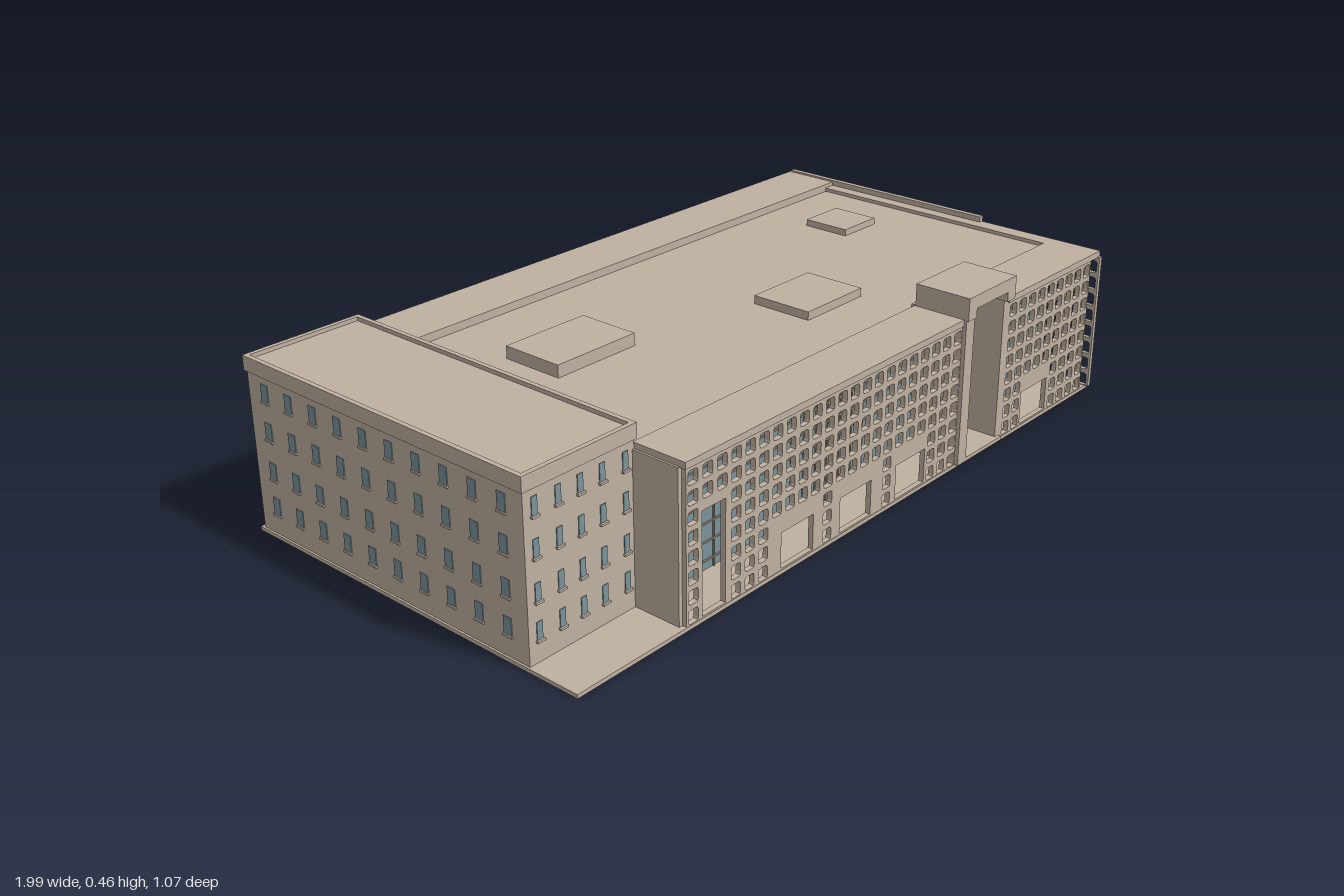
import * as THREE from 'three';

const mat = (name, hex) => {
  const m = new THREE.MeshStandardMaterial({ color: hex });
  m.name = name;
  return m;
};

export function createModel() {
  const stone = mat('beige stone', 0xc0b1a1);
  const glass = mat('blue grey glass', 0x7b949b);
  const frame = mat('window frame', 0x9c8f82);
  const model = new THREE.Group();
  model.name = 'officeBuilding';

  const group = (name, parent = model) => {
    const g = new THREE.Group();
    g.name = name;
    parent.add(g);
    return g;
  };
  // Box given by its min and max on each axis
  const box = (name, x0, x1, y0, y1, z0, z1, m = stone, parent = model) => {
    const b = new THREE.Mesh(new THREE.BoxGeometry(x1 - x0, y1 - y0, z1 - z0), m);
    b.name = name;
    b.position.set((x0 + x1) / 2, (y0 + y1) / 2, (z0 + z1) / 2);
    parent.add(b);
    return b;
  };
  const rectPath = (P, u0, u1, v0, v1) => {
    const p = new P();
    p.moveTo(u0, v0);
    p.lineTo(u1, v0);
    p.lineTo(u1, v1);
    p.lineTo(u0, v1);
    p.closePath();
    return p;
  };
  // Window hole with rounded corners
  const windowHole = (u, v, w, h, r) => {
    const p = new THREE.Path();
    const a = u - w / 2, b = u + w / 2, c = v - h / 2, d = v + h / 2;
    p.moveTo(a + r, c);
    p.lineTo(b - r, c);
    p.quadraticCurveTo(b, c, b, c + r);
    p.lineTo(b, d - r);
    p.quadraticCurveTo(b, d, b - r, d);
    p.lineTo(a + r, d);
    p.quadraticCurveTo(a, d, a, d - r);
    p.lineTo(a, c + r);
    p.quadraticCurveTo(a, c, a + r, c);
    return p;
  };

  // Perforated wall: eight rows of rounded windows, plus larger openings [u0, u1, v0, v1]
  const ROWS = 8, ROW0 = 0.029, ROWSTEP = 0.047;
  const screen = (name, u0, u1, v0, v1, first, last, count, openings, depth) => {
    const s = rectPath(THREE.Shape, u0, u1, v0, v1);
    openings.forEach((o) => s.holes.push(rectPath(THREE.Path, ...o)));
    for (let i = 0; i < count; i++) {
      const u = first + ((last - first) * i) / (count - 1);
      for (let j = 0; j < ROWS; j++) {
        const v = ROW0 + j * ROWSTEP;
        const blocked = openings.some((o) =>
          u > o[0] - 0.018 && u < o[1] + 0.018 && v > o[2] - 0.02 && v < o[3] + 0.019);
        if (!blocked) s.holes.push(windowHole(u, v, 0.031, 0.034, 0.007));
      }
    }
    const g = new THREE.ExtrudeGeometry(s, { depth, bevelEnabled: false, curveSegments: 2 });
    const m = new THREE.Mesh(g, stone);
    m.name = name;
    model.add(m);
    return m;
  };

  // Ground slab with a rectangular pit near the right end
  const slab = rectPath(THREE.Shape, -0.99, 0.995, -0.515, 0.53);
  slab.holes.push(rectPath(THREE.Path, 0.52, 0.97, -0.3, -0.16));
  const slabMesh = new THREE.Mesh(
    new THREE.ExtrudeGeometry(slab, { depth: 0.01, bevelEnabled: false }), stone);
  slabMesh.name = 'groundSlab';
  slabMesh.rotation.x = -Math.PI / 2;
  model.add(slabMesh);

  // Glazed core: wide front range and a shorter rear hall
  box('frontRangeGlass', -0.665, 0.94, 0.01, 0.385, 0.15, 0.385, glass);
  box('rearHallGlass', -0.665, 0.5, 0.01, 0.385, -0.42, 0.15, glass);

  // Mullions on the glass, along x or along z
  const mullions = (name, axis, a0, a1, at, step) => {
    const g = group(name);
    const t = 0.002, d = 0.004;
    const bar = (p0, p1, y0, y1) => axis === 'x'
      ? box('bar', p0, p1, y0, y1, at - d, at + d, frame, g)
      : box('bar', at - d, at + d, y0, y1, p0, p1, frame, g);
    const n = Math.round((a1 - a0) / step);
    for (let i = 0; i <= n; i++) {
      const p = a0 + ((a1 - a0) * i) / n;
      bar(p - t, p + t, 0.01, 0.385);
    }
    for (let j = 0; j < ROWS; j++) {
      const y = ROW0 + 0.005 + j * ROWSTEP;
      bar(a0, a1, y - t, y + t);
    }
  };
  mullions('frontMullions', 'x', -0.66, 0.938, 0.385, 0.046);
  mullions('rearMullions', 'x', -0.66, 0.498, -0.42, 0.035);
  mullions('hallEndMullions', 'z', -0.418, 0.148, 0.5, 0.046);
  mullions('rangeEndMullions', 'z', 0.152, 0.383, 0.94, 0.046);

  // Front screen, on both sides of the entrance
  screen('frontScreenRightPart', -0.665, 0.345, 0.01, 0.387, -0.643, 0.323, 22, [
    [-0.615, -0.54, 0.014, 0.268], [-0.35, -0.235, 0.014, 0.105],
    [-0.135, -0.015, 0.014, 0.105], [0.085, 0.205, 0.014, 0.105],
  ], 0.014).position.z = 0.5;
  screen('frontScreenLeftPart', 0.55, 0.957, 0.01, 0.387, 0.574, 0.937, 9,
    [[0.645, 0.77, 0.014, 0.105]], 0.014).position.z = 0.5;

  // Side screen, turned so that its length runs along z
  const side = screen('sideScreen', -0.525, 0.525, 0.01, 0.387, -0.502, 0.503, 23, [
    [-0.155, -0.075, 0.11, 0.236], [-0.38, -0.3, 0.014, 0.236],
  ], 0.012);
  side.rotation.y = -Math.PI / 2;
  side.position.x = 0.995;
  box('loggiaEndWall', -0.675, -0.66, 0.01, 0.387, 0.37, 0.502);

  // Entrance portal rising above the roof
  const portal = group('entrancePortal');
  box('portalRightWall', 0.34, 0.376, 0.01, 0.4, 0.385, 0.525, stone, portal);
  box('portalLeftWall', 0.525, 0.55, 0.01, 0.4, 0.385, 0.515, stone, portal);
  box('portalCap', 0.34, 0.55, 0.425, 0.46, 0.375, 0.53, stone, portal);
  box('portalCapSide', 0.34, 0.376, 0.4, 0.425, 0.375, 0.53, stone, portal);
  box('portalCapSide', 0.515, 0.55, 0.4, 0.425, 0.375, 0.53, stone, portal);
  box('portalGlass', 0.376, 0.515, 0.385, 0.425, 0.38, 0.389, glass, portal);
  box('portalStep', 0.35, 0.54, 0.01, 0.02, 0.385, 0.525, stone, portal);

  // Roof deck, raised borders and roof boxes
  const roof = group('roof');
  box('roofDeck', -0.67, 0.95, 0.383, 0.392, -0.37, 0.375, stone, roof);
  box('frontBorder', -0.67, 0.345, 0.385, 0.402, 0.372, 0.518, stone, roof);
  box('frontBorder', 0.545, 0.995, 0.385, 0.402, 0.372, 0.518, stone, roof);
  box('entranceBorder', 0.345, 0.545, 0.385, 0.402, 0.36, 0.38, stone, roof);
  box('rearBorder', -0.7, 0.995, 0.375, 0.412, -0.535, -0.372, stone, roof);
  box('sideBorder', 0.948, 0.995, 0.385, 0.402, -0.372, 0.372, stone, roof);
  box('sideParapet', 0.983, 0.998, 0.387, 0.417, -0.53, 0.145, stone, roof);
  box('roofBox', -0.53, -0.28, 0.39, 0.424, -0.16, 0.01, stone, roof);
  box('roofBox', 0.11, 0.325, 0.39, 0.414, 0.05, 0.22, stone, roof);
  box('roofBox', 0.665, 0.8, 0.39, 0.41, -0.22, -0.085, stone, roof);

  // Rear colonnade
  const columns = group('rearColumns');
  [0.63, 0.34, 0.08, -0.165, -0.41, -0.65].forEach((x) =>
    box('column', x - 0.02, x + 0.02, 0.01, 0.376, -0.515, -0.475, stone, columns));

  // End block with a parapet around its roof
  const end = group('endBlock');
  box('endBlockBody', -0.985, -0.67, 0.01, 0.437, -0.52, 0.375, stone, end);
  box('parapet', -0.99, -0.978, 0.41, 0.447, -0.525, 0.38, stone, end);
  box('parapet', -0.677, -0.665, 0.41, 0.447, -0.525, 0.38, stone, end);
  box('parapet', -0.978, -0.677, 0.41, 0.447, -0.525, -0.513, stone, end);
  box('parapet', -0.978, -0.677, 0.41, 0.447, 0.368, 0.38, stone, end);

  // Narrow windows with sills on the three outer faces of the end block
  const wins = group('endBlockWindows', end);
  const w = 0.008, h = 0.021;
  [0.085, 0.175, 0.275, 0.37].forEach((y) => {
    [-0.955, -0.89, -0.828, -0.765, -0.697].forEach((x) => {
      box('windowPane', x - w, x + w, y - h, y + h, 0.37, 0.377, glass, wins);
      box('sill', x - w - 0.003, x + w + 0.003, y - h - 0.005, y - h, 0.372, 0.382, stone, wins);
    });
    [-0.92, -0.85, -0.78].forEach((x) => {
      box('windowPane', x - w - 0.004, x + w + 0.004, y - h, y + h, -0.522, -0.515, glass, wins);
      box('sill', x - w - 0.008, x + w + 0.008, y + h, y + h + 0.006, -0.528, -0.518, stone, wins);
    });
    for (let i = 0; i < 10; i++) {
      const z = -0.46 + i * 0.086;
      box('windowPane', -0.987, -0.98, y - h, y + h, z - w - 0.004, z + w + 0.004, glass, wins);
      box('sill', -0.99, -0.982, y - h - 0.005, y - h, z - w - 0.006, z + w + 0.006, stone, wins);
    }
  });

  return model;
}
